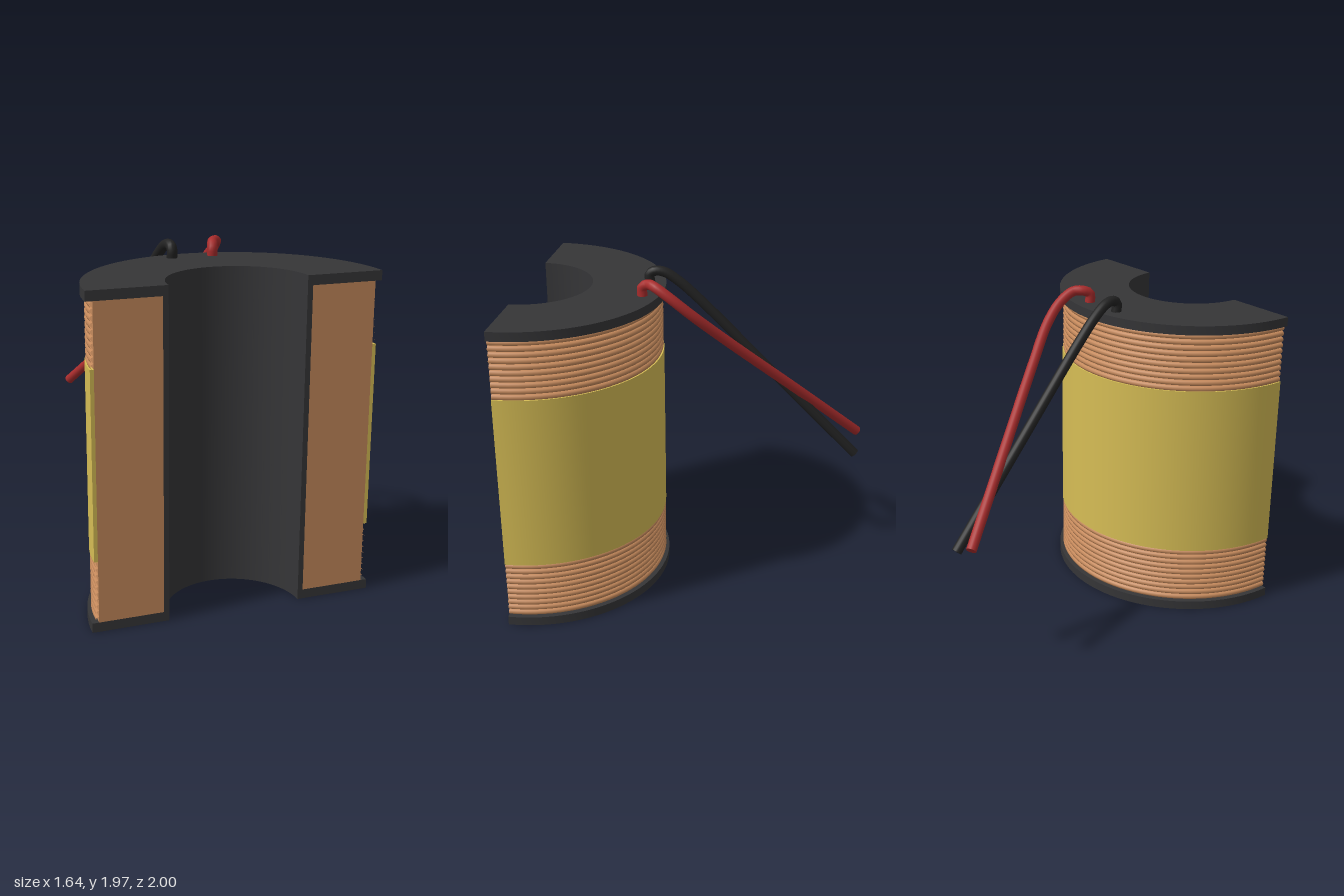
import * as THREE from 'three';
import { toCreasedNormals } from 'three/addons/utils/BufferGeometryUtils.js';

const paint = (color) => new THREE.MeshStandardMaterial({ color });

// Half ring swept from a closed counter-clockwise (radius, y) profile, with flat cut faces
function halfRing(name, profile, material) {
  const group = new THREE.Group();
  group.name = name;
  const points = profile.map(([r, y]) => new THREE.Vector2(r, y));
  const lathe = new THREE.LatheGeometry([...points, points[0].clone()], 48, Math.PI / 2, Math.PI);
  const sweep = new THREE.Mesh(toCreasedNormals(lathe, 0.5), material);
  sweep.name = name + 'Sweep';
  group.add(sweep);
  for (const side of [1, -1]) {
    const shape = new THREE.Shape(points.map((p) => new THREE.Vector2(side * p.x, p.y)));
    const cut = new THREE.Mesh(new THREE.ShapeGeometry(shape), material);
    cut.name = name + 'CutFace';
    group.add(cut);
  }
  return group;
}

// Bent round wire with closed ends
function wire(name, path, radius, material) {
  const group = new THREE.Group();
  group.name = name;
  const curve = new THREE.CatmullRomCurve3(path.map((p) => new THREE.Vector3(...p)), false, 'centripetal');
  group.add(new THREE.Mesh(new THREE.TubeGeometry(curve, 100, radius, 16), material));
  for (const [t, dir] of [[0, -1], [1, 1]]) {
    const cap = new THREE.Mesh(new THREE.CircleGeometry(radius, 16), material);
    cap.position.copy(curve.getPointAt(t));
    cap.lookAt(cap.position.clone().addScaledVector(curve.getTangentAt(t), dir));
    group.add(cap);
  }
  group.children.forEach((m, i) => { m.name = name + (i ? 'End' : 'Body'); });
  return group;
}

export function createModel() {
  const model = new THREE.Group();
  model.name = 'coilCutaway';
  const black = paint(0x353537);
  const copper = paint(0xc68a5c);
  const yellow = paint(0xd6bd55);

  const H = 1.87, T = 0.055;          // spool height, flange thickness
  const inner = 0.385, hub = 0.415;   // bore and hub radius
  const flange = 0.82, coilR = 0.782;

  // Half spool, cut on its axis at the front
  const body = new THREE.Group();
  body.name = 'halfCoil';
  body.position.z = 1;
  model.add(body);

  body.add(halfRing('spool', [
    [inner, 0], [flange, 0], [flange, T], [hub, T],
    [hub, H - T], [flange, H - T], [flange, H], [inner, H],
  ], black));

  // Solid winding and the tape around its middle
  body.add(halfRing('winding', [[hub, T], [coilR, T], [coilR, H - T], [hub, H - T]], copper));
  body.add(halfRing('tape', [[coilR, 0.41], [0.803, 0.41], [0.803, 1.465], [coilR, 1.465]], yellow));

  // Exposed turns of wire above and below the tape
  const turns = 10, pitch = 0.0355;
  const turnGeometry = new THREE.TorusGeometry(coilR, pitch / 2, 8, 48, Math.PI).rotateX(-Math.PI / 2);
  for (const start of [T, H - T - turns * pitch]) {
    for (let i = 0; i < turns; i++) {
      const turn = new THREE.Mesh(turnGeometry, copper);
      turn.name = 'wireTurn';
      turn.position.y = start + (i + 0.5) * pitch;
      body.add(turn);
    }
  }

  // Two leads bending over the top flange and down behind
  model.add(wire('blackLead', [
    [-0.125, 1.86, 0.285], [-0.125, 1.92, 0.288], [-0.127, 1.94, 0.255], [-0.134, 1.932, 0.2],
    [-0.143, 1.88, 0.12], [-0.158, 1.77, 0], [-0.216, 1.26, -0.49], [-0.275, 0.755, -0.975],
  ], 0.03, paint(0x222222)));
  model.add(wire('redLead', [
    [0.12, 1.86, 0.285], [0.12, 1.92, 0.285], [0.135, 1.942, 0.245], [0.172, 1.938, 0.2],
    [0.188, 1.885, 0.115], [0.163, 1.785, 0], [0.05, 1.59, -0.2],
    [-0.205, 1.195, -0.61], [-0.435, 0.835, -0.98],
  ], 0.03, paint(0xa82c2c)));

  return model;
}
